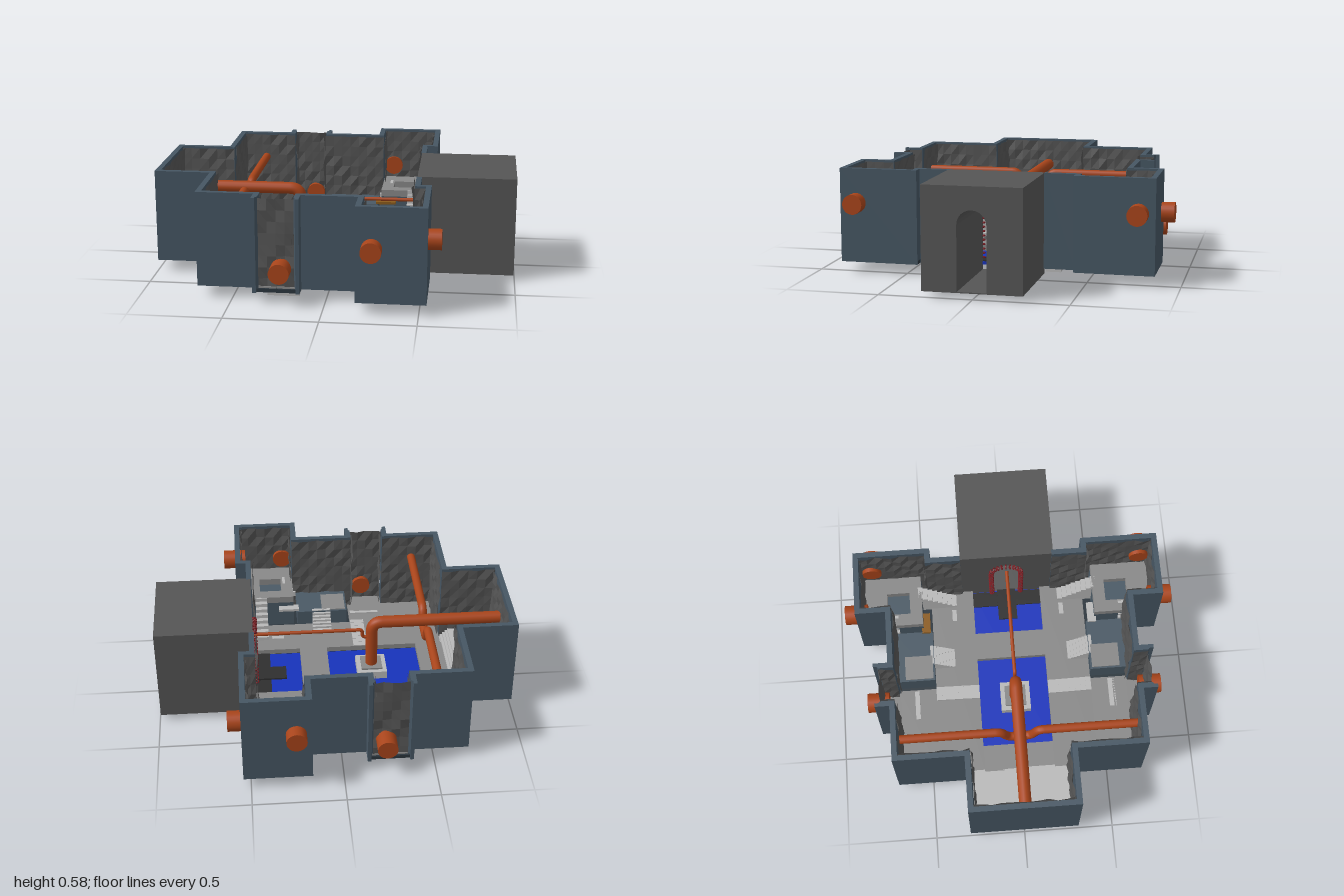
import * as THREE from 'three';

const mat = (color, flat = true) => new THREE.MeshStandardMaterial({ color, flatShading: flat, side: THREE.DoubleSide });
const WALL = mat(0x465663), ROCK = mat(0x555555), FLOOR = mat(0x888888), SLAB = mat(0x2b353d);
const LEDGE = mat(0x4a5965), STONE = mat(0xb8b8b8), DARK = mat(0x2e2e2e), POOL = mat(0x1733bb);
const PIPE = mat(0xa8441a, false), RED = mat(0x7a1c22), WOOD = mat(0x8a5a1c);
const Y0 = 0.06, TOP = 0.58, T = 0.03;

export function createModel() {
  const root = new THREE.Group();
  const add = (name, geo, m) => {
    const mesh = new THREE.Mesh(geo, m);
    mesh.name = name;
    root.add(mesh);
    return mesh;
  };
  // box given by its limits
  const box = (name, m, x0, x1, y0, y1, z0, z1) =>
    add(name, new THREE.BoxGeometry(x1 - x0, y1 - y0, Math.abs(z1 - z0)), m)
      .position.set((x0 + x1) / 2, (y0 + y1) / 2, (z0 + z1) / 2);
  const both = (name, m, x0, x1, y0, y1, z0, z1) => {
    for (const s of [1, -1]) box(name, m, x0, x1, y0, y1, s * z0, s * z1);
  };

  // outline of the outer wall, one half mirrored over z
  const half = [[-1, 0.305], [-0.69, 0.305], [-0.69, 0.695], [-0.38, 0.695], [-0.38, 0.775], [-0.13, 0.775],
    [-0.13, 0.695], [0.17, 0.695], [0.17, 0.865], [0.54, 0.865], [0.54, 0.43], [0.48, 0.43], [0.48, 0.26]];
  const path = [...half.map(([x, z]) => [x, -z]).reverse(), ...half];
  const normals = path.slice(0, -1).map(([x, z], i) => {
    const [u, w] = path[i + 1];
    return [Math.sign(w - z), -Math.sign(u - x)];
  });
  const inset = (i, d) => {
    const a = normals[i - 1] || [0, 0], b = normals[i] || [0, 0];
    return [path[i][0] + d * (a[0] + b[0]), path[i][1] + d * (a[1] + b[1])];
  };
  // mitred wall panels, each lined with rough rock
  normals.forEach((n, i) => {
    const p = path[i], q = path[i + 1];
    const alcoveEnd = Math.abs(p[1]) > 0.77 && Math.abs(p[1]) < 0.78 && p[1] === q[1];
    if (!alcoveEnd) {
      const corners = [p, q, inset(i + 1, T), inset(i, T)].map(([x, z]) => new THREE.Vector2(x, -z));
      const geo = new THREE.ExtrudeGeometry(new THREE.Shape(corners), { depth: TOP - Y0, bevelEnabled: false });
      geo.rotateX(-Math.PI / 2).translate(0, Y0, 0);
      add('wallPanel', geo, WALL);
    }
    const a = inset(i, T), b = inset(i + 1, T);
    const len = Math.hypot(b[0] - a[0], b[1] - a[1]);
    const rock = new THREE.PlaneGeometry(len, 0.5, Math.max(2, Math.round(len / 0.05)), 8);
    const pos = rock.attributes.position;
    for (let k = 0; k < pos.count; k++) {
      const x = pos.getX(k), y = pos.getY(k);
      pos.setZ(k, 0.009 + 0.005 * Math.sin(37 * x + 23 * y + i) + 0.004 * Math.sin(61 * y - 47 * x + 2 * i));
    }
    const mesh = add('rockLining', rock, ROCK);
    mesh.rotation.y = Math.atan2(n[0], n[1]);
    mesh.position.set((a[0] + b[0]) / 2, 0.32, (a[1] + b[1]) / 2);
    if (alcoveEnd) mesh.position.z -= n[1] * 0.01;
  });
  // slim frame at the edges of the open alcove ends
  for (const x of [-0.38, -0.15]) both('alcoveFrame', WALL, x, x + 0.02, Y0, TOP, 0.74, 0.775);

  // foundation slabs
  both('foundation', SLAB, -0.68, 0.47, Y0, 0.08, 0.2, 0.69);
  both('alcoveFoundation', SLAB, -0.37, -0.14, Y0, 0.08, 0.69, 0.76);
  both('bayFoundation', SLAB, 0.18, 0.53, Y0, 0.08, 0.43, 0.86);
  box('endFoundation', SLAB, -0.68, -0.51, Y0, 0.08, -0.2, 0.2);
  box('pool', POOL, -0.51, 0.46, 0.062, 0.078, -0.2, 0.2);

  // walkways and raised platforms
  both('walkway', FLOOR, -0.66, 0.46, 0.08, 0.11, 0.2, 0.45);
  box('endWalkway', FLOOR, -0.67, -0.51, 0.08, 0.11, -0.2, 0.2);
  box('crossWalkway', FLOOR, 0.02, 0.18, 0.07, 0.11, -0.2, 0.2);
  both('sideFloor', FLOOR, -0.66, -0.14, 0.08, 0.095, 0.45, 0.66);
  both('alcoveFloor', FLOOR, -0.35, -0.15, 0.08, 0.09, 0.66, 0.75);
  both('sidePlatform', LEDGE, -0.12, 0.18, 0.08, 0.2, 0.45, 0.67);
  both('sidePlatformPaving', FLOOR, -0.11, 0.03, 0.2, 0.205, 0.46, 0.62);
  both('bayLedge', LEDGE, 0.2, 0.51, 0.08, 0.24, 0.5, 0.84);
  // ring of paving on the bay platform
  for (const [x0, x1, z0, z1] of [[0.2, 0.5, 0.5, 0.57], [0.2, 0.27, 0.57, 0.83], [0.4, 0.5, 0.57, 0.83], [0.27, 0.4, 0.7, 0.83]])
    both('bayPaving', FLOOR, x0, x1, 0.24, 0.28, z0, z1);
  box('entryFloor', STONE, -0.97, -0.71, 0.12, 0.16, -0.275, 0.275);

  // stairs: axis 'x' or 'z' is the run, height goes from h0 to h1
  const stairs = (axis, x0, x1, z0, z1, h0, h1, n) => {
    for (let i = 0; i < n; i++) {
      const a = i / n, b = (i + 1) / n, h = h0 + (h1 - h0) * (i + 1) / n;
      const base = Math.min(h0, h1) - 0.01;
      if (axis === 'x') box('stairTread', STONE, x0 + (x1 - x0) * a, x0 + (x1 - x0) * b, base, h, z0, z1);
      else box('stairTread', STONE, x0, x1, base, h, z0 + (z1 - z0) * a, z0 + (z1 - z0) * b);
    }
  };
  stairs('x', -0.71, -0.65, -0.27, 0.27, 0.16, 0.11, 4);
  for (const s of [1, -1]) {
    stairs('z', -0.66, -0.56, s * 0.44, s * 0.51, 0.115, 0.1, 4);
    stairs('z', -0.32, -0.15, s * 0.55, s * 0.59, 0.11, 0.095, 3);
    stairs('z', -0.22, -0.14, s * 0.2, s * 0.45, 0.115, 0.125, 8);
    stairs('z', -0.02, 0.09, s * 0.33, s * 0.47, 0.11, 0.205, 8);
    stairs('x', 0.18, 0.26, s * 0.64, s * 0.71, 0.2, 0.285, 5);
    stairs('z', 0.36, 0.43, s * 0.3, s * 0.52, 0.11, 0.28, 8);
    stairs('z', 0.27, 0.34, s * 0.2, s * 0.33, 0.08, 0.115, 5);
    box('plank', s < 0 ? WOOD : STONE, 0.17, 0.29, 0.2, 0.215, s * 0.46, s * 0.51);
  }

  // blocks showing under the foundation
  both('footing', STONE, -0.32, -0.15, 0, 0.07, 0.55, 0.64);
  both('footing', STONE, -0.66, -0.51, 0.04, 0.07, 0.44, 0.53);
  both('footing', STONE, 0.35, 0.46, 0.04, 0.07, 0.27, 0.35);
  box('pedestal', STONE, -0.31, -0.14, 0.03, 0.125, -0.08, 0.09);
  box('pedestalCap', FLOOR, -0.285, -0.165, 0.125, 0.135, -0.055, 0.065);

  // tunnel block with an arched passage
  const arch = (r, spring, base) => {
    const p = [[r, base]];
    for (let i = 0; i <= 12; i++) p.push([r * Math.cos(i * Math.PI / 12), spring + r * Math.sin(i * Math.PI / 12)]);
    p.push([-r, base]);
    return p.map(([a, b]) => new THREE.Vector2(a, b));
  };
  const face = new THREE.Shape([[-0.265, 0.03], [0.265, 0.03], [0.265, TOP], [-0.265, TOP]].map(c => new THREE.Vector2(...c)));
  face.holes.push(new THREE.Path(arch(0.078, 0.38, 0.036)));
  const block = new THREE.ExtrudeGeometry(face, { depth: 0.54, bevelEnabled: false });
  block.rotateY(Math.PI / 2).translate(0.455, 0, 0.005);
  add('tunnelBlock', block, ROCK);
  box('tunnelLanding', DARK, 0.36, 0.45, 0.07, 0.085, -0.2, 0.2);
  box('tunnelBridge', DARK, 0.27, 0.46, 0.085, 0.095, -0.055, 0.055);
  // beaded trim round the inner end of the passage
  const trim = new THREE.CatmullRomCurve3(arch(0.085, 0.375, 0.1).map(v => new THREE.Vector3(0.445, v.y, v.x)));
  for (let i = 0; i <= 34; i++) {
    const bead = add('archBead', new THREE.TorusGeometry(0.012, 0.004, 5, 8), RED);
    bead.position.copy(trim.getPointAt(i / 34));
    bead.lookAt(bead.position.clone().add(trim.getTangentAt(i / 34)));
  }

  // wall outlets
  const outlet = (x, y, z, axis, len) => {
    const m = add('outletPipe', new THREE.CylinderGeometry(0.055, 0.055, len, 24), PIPE);
    if (axis === 'x') m.rotation.z = Math.PI / 2; else m.rotation.x = Math.PI / 2;
    m.position.set(x, y, z);
  };
  for (const s of [1, -1]) {
    outlet(-0.23, 0.19, s * 0.78, 'z', 0.125);
    outlet(0.255, 0.355, s * 0.872, 'z', 0.13);
    outlet(0.545, 0.39, s * 0.775, 'x', 0.13);
  }

  // overhead pipes with rounded bends
  const pipe = (name, r, pts, bend) => {
    const v = pts.map(p => new THREE.Vector3(...p)), path3 = new THREE.CurvePath();
    let last = v[0];
    for (let i = 1; i < v.length - 1; i++) {
      const a = v[i].clone().add(v[i - 1].clone().sub(v[i]).setLength(bend));
      const b = v[i].clone().add(v[i + 1].clone().sub(v[i]).setLength(bend));
      path3.add(new THREE.LineCurve3(last, a));
      path3.add(new THREE.QuadraticBezierCurve3(a, v[i], b));
      last = b;
    }
    path3.add(new THREE.LineCurve3(last, v[v.length - 1]));
    add(name, new THREE.TubeGeometry(path3, 120, r, 14), PIPE);
  };
  pipe('mainPipe', 0.034, [[-0.96, 0.42, 0.005], [-0.225, 0.42, 0.005], [-0.225, 0.13, 0.005]], 0.06);
  pipe('crossPipe', 0.024, [[-0.53, 0.43, -0.66], [-0.53, 0.43, -0.1], [-0.53, 0.34, -0.06], [-0.53, 0.34, 0.07],
    [-0.53, 0.43, 0.11], [-0.53, 0.43, 0.66]], 0.03);
  pipe('thinPipe', 0.01, [[-0.225, 0.32, 0.005], [-0.17, 0.32, 0.005], [-0.17, 0.37, 0.005], [0.455, 0.37, 0.005]], 0.02);

  return root;
}
